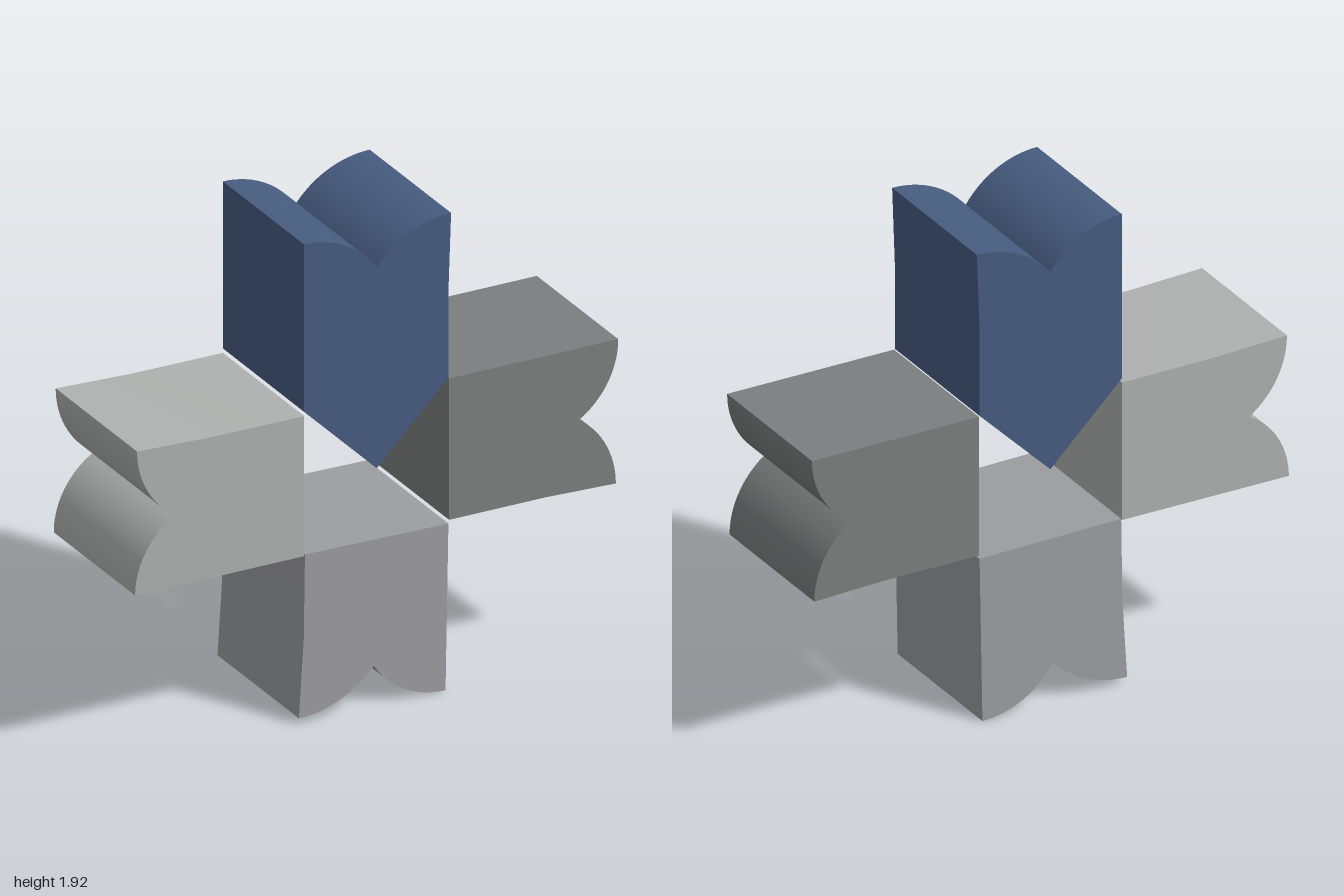
import * as THREE from 'three';
import { toCreasedNormals } from 'three/addons/utils/BufferGeometryUtils.js';

const BACK = -0.31, DEPTH = 0.615;

// Points of a circular lobe from corner to notch; at the corner the circle's radius points along dir.
function lobe(corner, notch, dir, steps = 20) {
  const p = new THREE.Vector2(...corner), n = new THREE.Vector2(...notch), d = new THREE.Vector2(...dir);
  const chord = p.clone().sub(n);
  const r = chord.lengthSq() / (2 * chord.dot(d));
  const c = p.clone().addScaledVector(d, -r);
  const v = n.clone().sub(c);
  const sweep = Math.atan2(d.cross(v), d.dot(v));
  const pts = [];
  for (let i = 0; i <= steps; i++) {
    pts.push(d.clone().rotateAround(new THREE.Vector2(), sweep * i / steps).multiplyScalar(r).add(c));
  }
  return pts;
}

// Arm: straight sides (base) followed by two lobes that meet in a notch at the outer end.
function arm(name, color, base, cornerA, notch, cornerB, dir) {
  const second = lobe(cornerB, notch, dir).reverse().slice(1);
  const outline = [...base.map(p => new THREE.Vector2(...p)), ...lobe(cornerA, notch, dir), ...second];
  const geometry = new THREE.ExtrudeGeometry(new THREE.Shape(outline), { depth: DEPTH, bevelEnabled: false });
  geometry.translate(0, 0, BACK);
  const mesh = new THREE.Mesh(toCreasedNormals(geometry, 0.5), new THREE.MeshStandardMaterial({ color }));
  mesh.name = name;
  return mesh;
}

export function createModel() {
  const group = new THREE.Group();
  group.name = 'crossOfFourArms';

  // Blue upper arm with a wedge pointing at the centre
  group.add(arm('upperArm', 0x475c80,
    [[-0.3, 1.25], [0, 0.955], [0.297, 1.25], [0.297, 1.6]],
    [0.308, 1.91], [0, 1.76], [-0.3, 1.92], [0, 1]));

  // Light grey arm on the -x side
  group.add(arm('rightArm', 0xaeb1af,
    [[-0.3, 0.67], [-0.3, 1.232], [-0.68, 1.234]],
    [-0.992, 1.246], [-0.835, 0.955], [-1, 0.67], [-1, 0]));

  // Dark grey arm on the +x side
  group.add(arm('leftArm', 0x7a7f7e,
    [[0.3, 1.247], [0.3, 0.68], [0.7, 0.68]],
    [0.99, 0.67], [0.838, 0.96], [1, 1.247], [1, 0]));

  // Mid grey lower arm
  group.add(arm('lowerArm', 0x9c9d9f,
    [[0.297, 0.666], [-0.297, 0.676], [-0.302, 0.34]],
    [-0.322, 0.024], [-0.012, 0.165], [0.285, 0], [0, -1]));

  return group;
}
